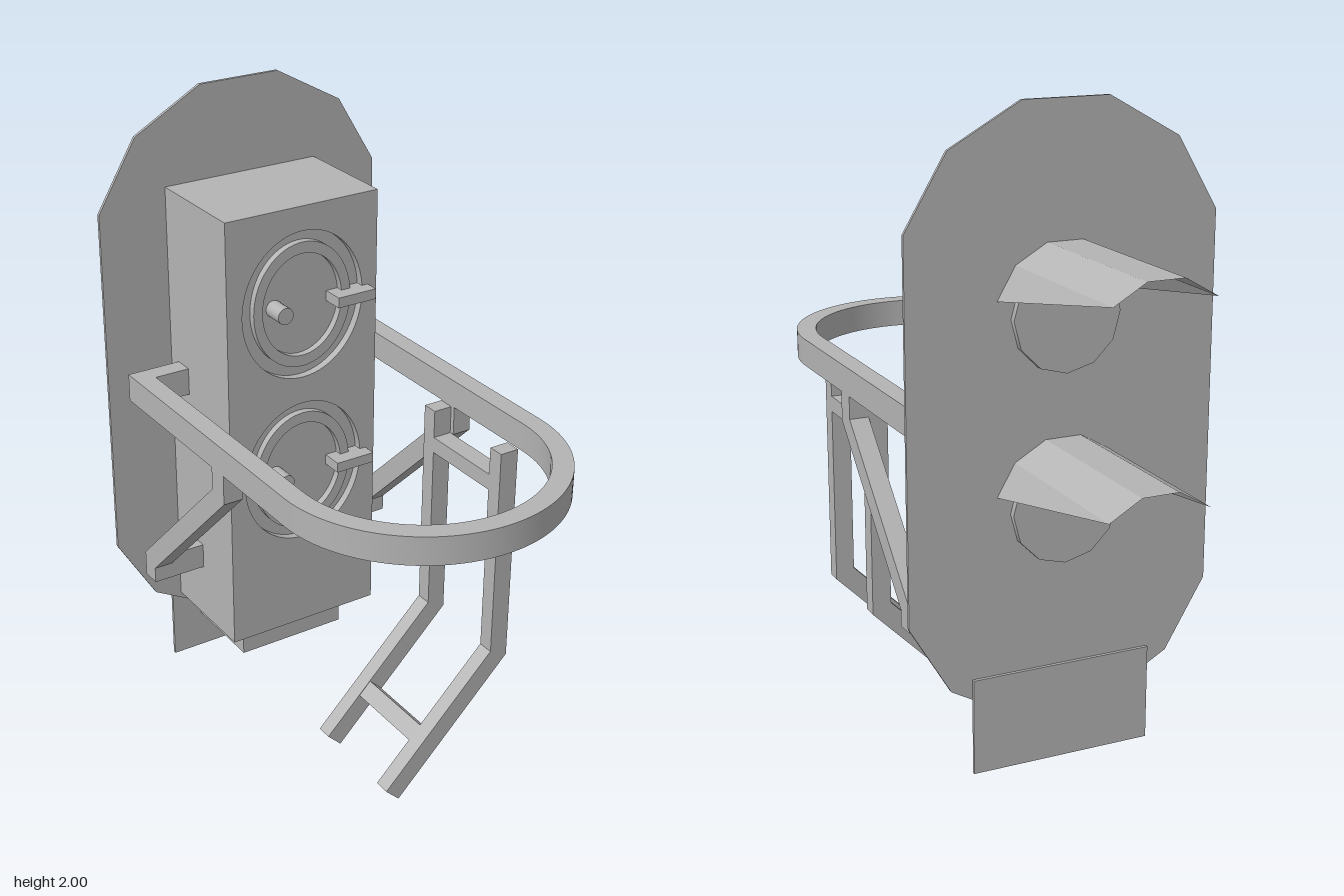
import * as THREE from 'three';
import { toCreasedNormals } from 'three/addons/utils/BufferGeometryUtils.js';

export function createModel() {
  const model = new THREE.Group();
  model.name = 'railwaySignalHead';
  const grey = new THREE.MeshStandardMaterial({ color: 0xb4b4b4, side: THREE.DoubleSide });
  grey.name = 'paintedGrey';

  const add = (name, geometry) => {
    const mesh = new THREE.Mesh(geometry, grey);
    mesh.name = name;
    model.add(mesh);
    return mesh;
  };
  // Box given by its limits on each axis
  const box = (name, x0, x1, y0, y1, z0, z1) =>
    add(name, new THREE.BoxGeometry(x1 - x0, y1 - y0, z1 - z0)
      .translate((x0 + x1) / 2, (y0 + y1) / 2, (z0 + z1) / 2));
  const outline = (pts) => new THREE.Shape(pts.map(([x, y]) => new THREE.Vector2(x, y)));
  const extrude = (shape, depth) => toCreasedNormals(
    new THREE.ExtrudeGeometry(shape, { depth, bevelEnabled: false, curveSegments: 32 }), 0.5);
  const ellipse = (Type, y, rx, ry) => new Type().absellipse(0, y, rx, ry, 0, Math.PI * 2, false, 0);

  // Backboard with chamfered round ends
  const corner = [[0.47, 1.67], [0.345, 1.88], [0.13, 2]];
  const upper = [...corner, ...corner.map(([x, y]) => [-x, y]).reverse()];
  const lower = upper.map(([x, y]) => [-x, 2.24 - y]);
  add('backboard', extrude(outline([...upper, ...lower]), 0.01).translate(0, 0, -0.41));

  // Housing, its foot and the number plate
  box('housing', -0.255, 0.255, 0.33, 1.715, -0.4, -0.08);
  box('housingFoot', -0.18, 0.18, 0.22, 0.33, -0.41, -0.13);
  box('lowerPlate', -0.28, 0.28, 0.095, 0.385, -0.42, -0.41);

  // Front panel with a recess for each door
  const doors = [1.41, 0.865];
  const panel = outline([[-0.255, 0.33], [0.255, 0.33], [0.255, 1.715], [-0.255, 1.715]]);
  doors.forEach((y) => panel.holes.push(ellipse(THREE.Path, y, 0.205, 0.23)));
  add('frontPanel', extrude(panel, 0.025).translate(0, 0, -0.08));

  doors.forEach((y) => {
    // Raised door rim, knob and latch
    const rim = ellipse(THREE.Shape, y, 0.165, 0.195);
    rim.holes.push(ellipse(THREE.Path, y, 0.135, 0.16));
    add('doorRim', extrude(rim, 0.022).translate(0, 0, -0.08));
    add('doorKnob', new THREE.CylinderGeometry(0.026, 0.026, 0.07, 16)
      .rotateX(Math.PI / 2).translate(-0.085, y, -0.047));
    box('doorLatch', 0.095, 0.225, y - 0.016, y + 0.016, -0.08, -0.012);
  });

  // Lens discs and slant-cut visors on the back
  [1.415, 0.862].forEach((y) => {
    const lens = new THREE.CylinderGeometry(0.162, 0.162, 0.02, 12).rotateX(Math.PI / 2);
    add('lens', lens.toNonIndexed()).position.set(0, y, -0.42);
    lens.dispose();

    const r = 0.21;
    const rimPoint = (i, z) => {
      const a = (15 + 30 * i) * Math.PI / 180;
      return [r * Math.cos(a), y + r * Math.sin(a), z];
    };
    const pos = [];
    for (let i = 0; i < 5; i++) {
      const a = rimPoint(i, -0.41), b = rimPoint(i + 1, -0.41);
      const c = rimPoint(Math.min(i + 1, 4), -0.95), d = rimPoint(Math.max(i, 1), -0.95);
      if (i < 4) pos.push(...a, ...b, ...c);
      if (i > 0 && i < 4) pos.push(...a, ...c, ...d);
      if (i === 4) pos.push(...a, ...b, ...d);
    }
    const visor = new THREE.BufferGeometry();
    visor.setAttribute('position', new THREE.Float32BufferAttribute(pos, 3));
    visor.computeVertexNormals();
    add('visor', visor);
  });

  // Safety hoop, turned in to the housing at both ends
  const hoop = new THREE.Shape();
  hoop.moveTo(0.255, -0.355);
  hoop.lineTo(0.425, -0.355);
  hoop.lineTo(0.425, 0.525);
  hoop.absarc(0, 0.525, 0.425, 0, Math.PI, false);
  hoop.lineTo(-0.425, -0.355);
  hoop.lineTo(-0.255, -0.355);
  hoop.lineTo(-0.255, -0.295);
  hoop.lineTo(-0.365, -0.295);
  hoop.lineTo(-0.365, 0.525);
  hoop.absarc(0, 0.525, 0.365, Math.PI, 0, true);
  hoop.lineTo(0.365, -0.295);
  hoop.lineTo(0.255, -0.295);
  add('safetyHoop', extrude(hoop, 0.085).rotateX(Math.PI / 2).translate(0, 1.175, 0));

  // Diagonal struts and their brackets, one on each side
  const strut = outline([[0.205, 1.09], [0.14, 1.09], [0.14, 1.02], [-0.3, 0.59],
    [-0.3, 0.51], [-0.24, 0.51], [-0.24, 0.56], [0.205, 1]]);
  [1, -1].forEach((s) => {
    add('hoopStrut', extrude(strut, 0.06).rotateY(-Math.PI / 2).translate(s * 0.395 + 0.03, 0, 0));
    box('strutBracket', s * 0.31 - 0.055, s * 0.31 + 0.055, 0.51, 0.59, -0.3, -0.24);
  });

  // Bent ladder: two rails and two rungs
  const rail = outline([[0.365, 1.09], [0.305, 1.09], [0.305, 0.42], [-0.065, 0.05],
    [-0.02, 0.005], [0.365, 0.39]]);
  [0.14, 0.46].forEach((z) => add('ladderRail', extrude(rail, 0.05).translate(0, -0.003, z)));
  box('upperRung', 0.305, 0.365, 0.95, 1, 0.19, 0.46);
  add('lowerRung', new THREE.BoxGeometry(0.056, 0.056, 0.27)
    .rotateZ(Math.PI / 4).translate(0.09, 0.16, 0.325));

  return model;
}
